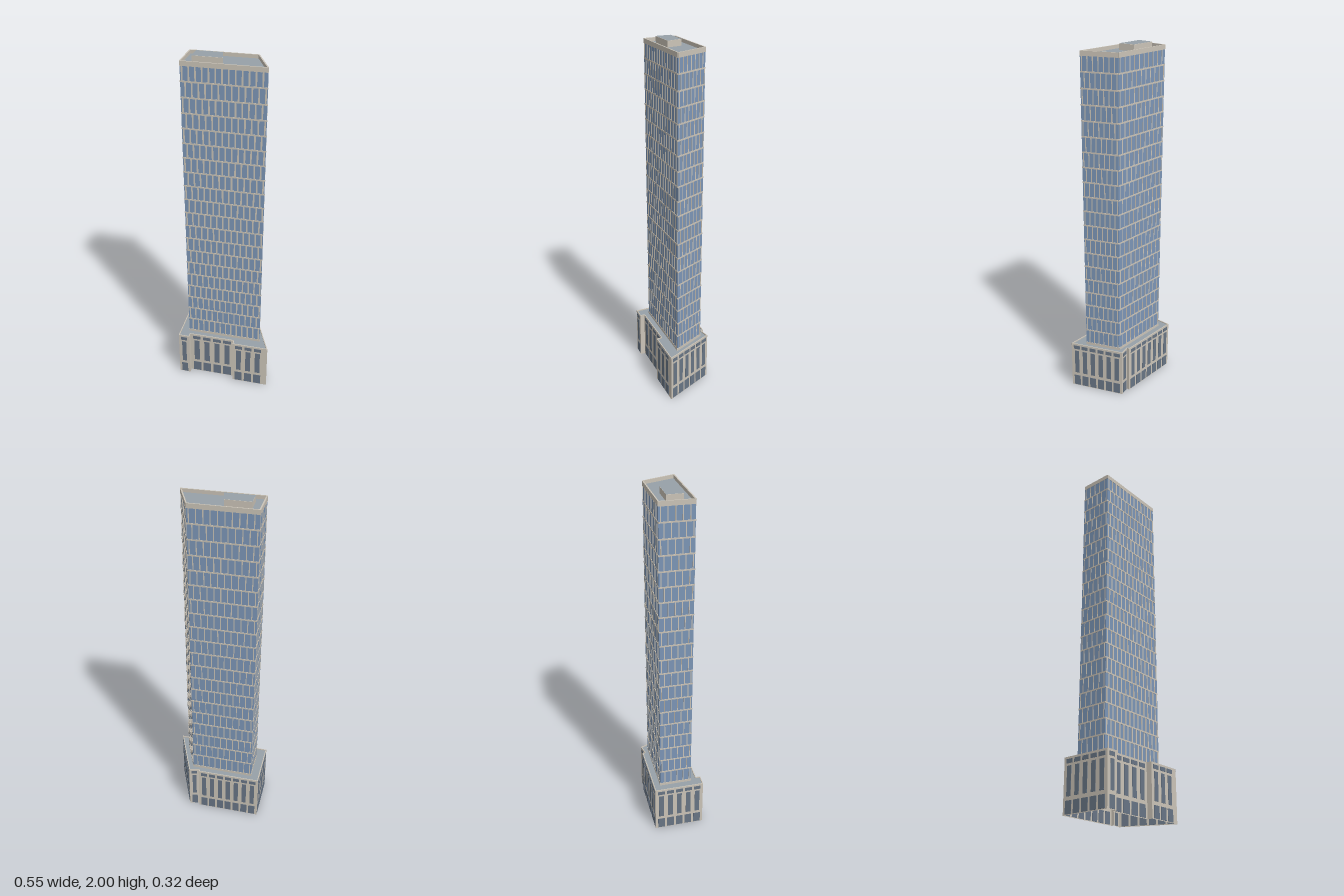
import * as THREE from 'three';
import { mergeGeometries } from 'three/addons/utils/BufferGeometryUtils.js';

const mat = (name, color, side = THREE.FrontSide) => {
  const m = new THREE.MeshStandardMaterial({ color, side });
  m.name = name;
  return m;
};

// Footprints as [x, z], walking front left to front right, then round the back
const BASE = [[-0.276, 0.13], [-0.21, 0.134], [-0.208, 0.107], [0.062, 0.117], [0.062, 0.147],
  [0.275, 0.155], [0.162, -0.14], [0.102, -0.129], [0.102, -0.144], [-0.265, -0.157]];
const TOWER = [[-0.223, 0.069], [0.217, 0.087], [0.143, -0.101], [-0.216, -0.114]];
const PENTHOUSE = [[-0.173, 0.023], [-0.016, 0.029], [-0.032, -0.057], [-0.17, -0.063]];

const BASE_TOP = 0.29, TOWER_TOP = 1.985, FLOORS = 20;
const FLOOR_START = 0.3, FLOOR_END = 1.965;

export function createModel() {
  const stone = mat('stone', 0xcbc4b8, THREE.DoubleSide);
  const towerGlass = mat('tower glass', 0x7c96b7);
  const baseGlass = mat('base glass', 0x687585);
  const roofing = mat('roofing', 0x97a1a8, THREE.DoubleSide);
  const model = new THREE.Group();
  model.name = 'skyscraper';

  const add = (name, geometry, material, parent = model) => {
    const mesh = new THREE.Mesh(geometry, material);
    mesh.name = name;
    parent.add(mesh);
    return mesh;
  };

  const outline = (pts) => new THREE.Shape(pts.map(([x, z]) => new THREE.Vector2(x, -z)));

  const prism = (pts, y0, y1) => new THREE.ExtrudeGeometry(outline(pts), { depth: y1 - y0, bevelEnabled: false })
    .rotateX(-Math.PI / 2).translate(0, y0, 0);

  const slab = (pts, y) => new THREE.ShapeGeometry(outline(pts)).rotateX(-Math.PI / 2).translate(0, y, 0);

  // Box given by its extents in wall coordinates: along, up, outward
  const block = (x0, x1, y0, y1, z0, z1) => new THREE.BoxGeometry(x1 - x0, y1 - y0, z1 - z0)
    .translate((x0 + x1) / 2, (y0 + y1) / 2, (z0 + z1) / 2);

  // One group per wall, local x along the wall and local z outward
  const eachWall = (pts, name, build) => pts.forEach(([x, z], i) => {
    const [x2, z2] = pts[(i + 1) % pts.length];
    const wall = new THREE.Group();
    wall.name = `${name}${i + 1}`;
    wall.position.set(x, 0, z);
    wall.rotation.y = Math.atan2(z - z2, x2 - x);
    model.add(wall);
    build(wall, Math.hypot(x2 - x, z2 - z), i);
  });

  // Podium: hollow stone walls with three tiers of windows
  const baseBays = [1, 0, 4, 0, 3, 6, 1, 0, 7, 5];
  eachWall(BASE, 'baseWall', (wall, len, i) => {
    add('wallPanel', new THREE.PlaneGeometry(len, BASE_TOP).translate(len / 2, BASE_TOP / 2, 0), stone, wall);
    add('parapet', block(0, len, BASE_TOP - 0.012, BASE_TOP, -0.005, 0), stone, wall);
    const bays = baseBays[i];
    if (!bays) return;
    const start = 0.008, end = i === 4 ? len - 0.03 : len - 0.008;
    const pitch = (end - start) / bays;
    const panes = [];
    for (let b = 0; b < bays; b++) {
      const c = start + pitch * (b + 0.5);
      const tall = pitch * 0.26, wide = pitch * 0.38;
      panes.push(block(c - wide, c + wide, 0.004, 0.07, -0.001, 0.002));
      panes.push(block(c - tall, c + tall, 0.09, 0.243, -0.001, 0.002));
      panes.push(block(c - wide, c + wide, 0.256, 0.278, -0.001, 0.002));
    }
    add('baseWindows', mergeGeometries(panes), baseGlass, wall);
  });
  add('baseRoof', slab(BASE, BASE_TOP - 0.006), roofing);

  // Tower: glass shaft with floor bands and staggered mullions
  add('towerShaft', prism(TOWER, BASE_TOP - 0.006, FLOOR_END), towerGlass);
  add('towerRoof', slab(TOWER, FLOOR_END + 0.001), roofing);
  const towerBays = [13, 7, 10, 5];
  const storey = (FLOOR_END - FLOOR_START) / FLOORS;
  eachWall(TOWER, 'towerWall', (wall, len, i) => {
    const out = 0.002, bars = [];
    const halfBar = i === 0 ? 0.004 : 0.0025;
    const pitch = len / towerBays[i];
    bars.push(block(0, len, BASE_TOP - 0.006, FLOOR_START, -0.001, out));
    for (let f = 0; f < FLOORS; f++) {
      const y = FLOOR_START + f * storey;
      if (f > 0) bars.push(block(0, len, y - 0.004, y + 0.004, -0.001, out));
      for (let b = 0; b < towerBays[i]; b++) {
        const c = pitch * (b + (f % 2 ? 0.3 : 0.75));
        bars.push(block(c - halfBar, c + halfBar, y, y + storey, -0.001, out));
      }
    }
    add('bandsAndMullions', mergeGeometries(bars), stone, wall);
    add('parapet', block(0, len, FLOOR_END - 0.005, TOWER_TOP, -0.005, out), stone, wall);
  });

  // Plant room on the roof
  add('plantRoom', prism(PENTHOUSE, FLOOR_END, 1.999), stone);
  add('plantRoomRoof', slab(PENTHOUSE, 2), roofing);

  return model;
}
